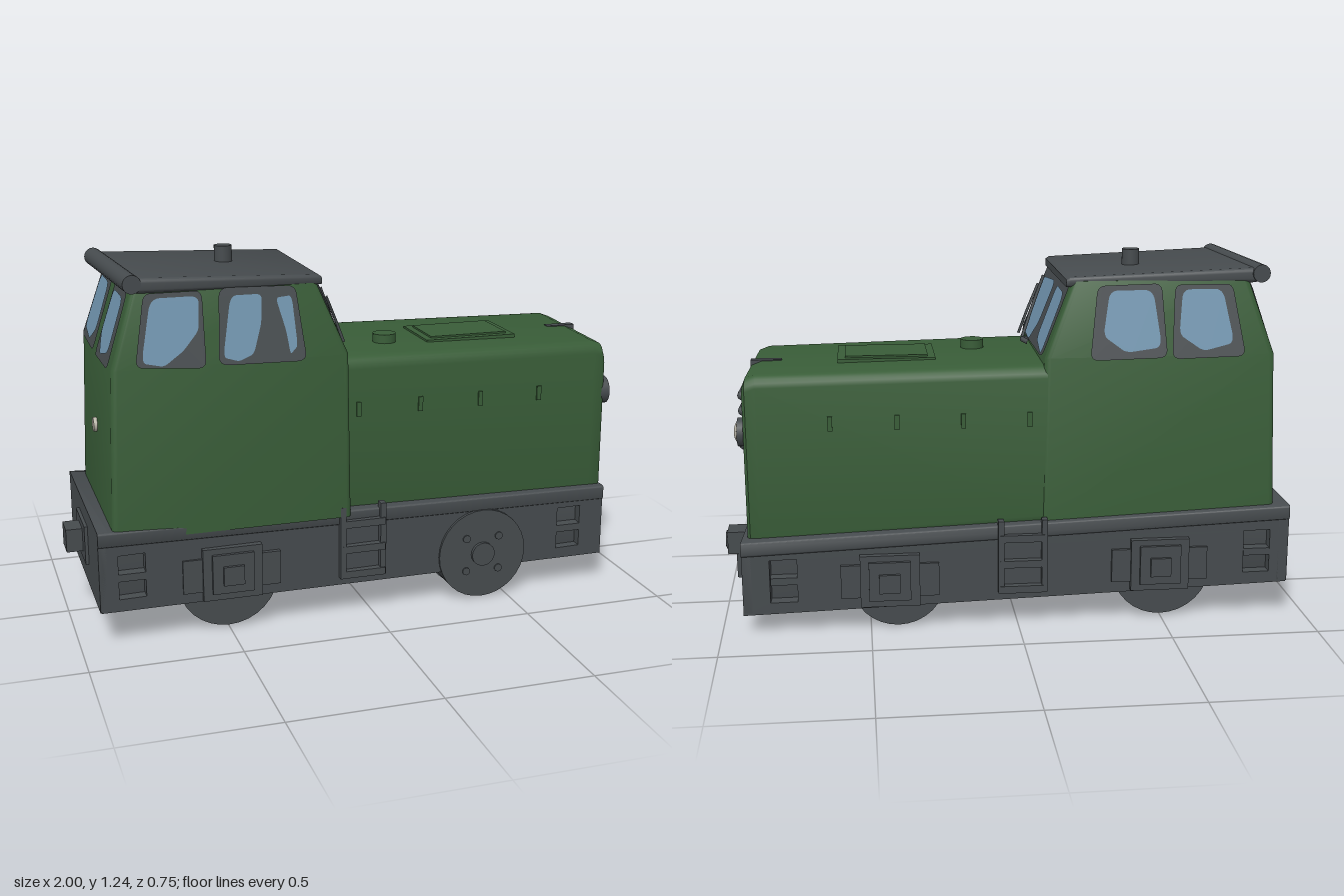
import * as THREE from 'three';
import { toCreasedNormals } from 'three/addons/utils/BufferGeometryUtils.js';

const mat = (name, color, side = THREE.FrontSide) => {
  const m = new THREE.MeshStandardMaterial({ color, side });
  m.name = name;
  return m;
};

// Rounded rectangle as counter-clockwise points
function roundRect(a0, a1, b0, b1, r) {
  const pts = [];
  [[a1 - r, b1 - r], [a0 + r, b1 - r], [a0 + r, b0 + r], [a1 - r, b0 + r]].forEach(([a, b], k) => {
    for (let i = 0; i <= 4; i++) {
      const t = (k + i / 4) * Math.PI / 2;
      pts.push([a + r * Math.cos(t), b + r * Math.sin(t)]);
    }
  });
  return pts;
}
// Rings along x take y and z ranges (skew turns the ring in plan); rings along y take z and x ranges
const ringX = (x, y0, y1, z0, z1, r, skew = 0) => roundRect(y0, y1, z0, z1, r).map(([y, z]) => [x + skew * z, y, z]);
const ringY = (y, z0, z1, x0, x1, r) => roundRect(z0, z1, x0, x1, r).map(([z, x]) => [x, y, z]);

// Closed body through a list of rings
function loft(rings) {
  const pos = [], n = rings[0].length;
  const tri = (a, b, c) => pos.push(...a, ...b, ...c);
  for (let k = 0; k + 1 < rings.length; k++) {
    const p = rings[k], q = rings[k + 1];
    for (let i = 0; i < n; i++) {
      const j = (i + 1) % n;
      tri(p[i], p[j], q[j]);
      tri(p[i], q[j], q[i]);
    }
  }
  const first = rings[0], last = rings[rings.length - 1];
  for (let i = 1; i + 1 < n; i++) {
    tri(first[0], first[i + 1], first[i]);
    tri(last[0], last[i], last[i + 1]);
  }
  const g = new THREE.BufferGeometry();
  g.setAttribute('position', new THREE.Float32BufferAttribute(pos, 3));
  return toCreasedNormals(g, 0.6);
}

// Polygon with softened corners
function softShape(pts, soft) {
  const s = new THREE.Shape(), v = pts.map(p => new THREE.Vector2(...p)), n = v.length;
  v.forEach((p, i) => {
    const a = p.clone().lerp(v[(i + n - 1) % n], soft), b = p.clone().lerp(v[(i + 1) % n], soft);
    if (i) s.lineTo(a.x, a.y); else s.moveTo(a.x, a.y);
    s.quadraticCurveTo(p.x, p.y, b.x, b.y);
  });
  s.closePath();
  return s;
}

function mapVertices(g, rule) {
  const p = g.attributes.position;
  for (let i = 0; i < p.count; i++) p.setXYZ(i, ...rule(p.getX(i), p.getY(i), p.getZ(i)));
  g.computeVertexNormals();
  return g;
}

export function createModel() {
  const group = new THREE.Group();
  const green = mat('green paint', 0x395d38);
  const grey = mat('dark grey', 0x464b4e);
  const trim = mat('window surround grey', 0x464b4e, THREE.DoubleSide);
  const glass = mat('blue glass', 0x7094ae, THREE.DoubleSide);
  const cream = mat('cream', 0xbab6a9, THREE.DoubleSide);

  const add = (name, geo, m, x = 0, y = 0, z = 0, parent = group) => {
    const mesh = new THREE.Mesh(geo, m);
    mesh.name = name;
    mesh.position.set(x, y, z);
    parent.add(mesh);
    return mesh;
  };
  const box = (name, m, x0, x1, y0, y1, z0, z1, parent) =>
    add(name, new THREE.BoxGeometry(x1 - x0, y1 - y0, z1 - z0), m, (x0 + x1) / 2, (y0 + y1) / 2, (z0 + z1) / 2, parent);
  const cyl = (name, m, r, h, axis, x, y, z, seg = 20, parent = group) => {
    const g = new THREE.CylinderGeometry(r, r, h, seg);
    if (axis === 'z') g.rotateX(Math.PI / 2);
    if (axis === 'x') g.rotateZ(-Math.PI / 2);
    return add(name, g, m, x, y, z, parent);
  };

  // Chassis, narrowing, dropping and twisting slightly towards the bonnet end
  const X0 = -0.93, X1 = 0.9;
  const bottom = x => 0.12 - 0.02 * (x - X0), top = x => 0.395 - 0.03 * (x - X0);
  const leftZ = x => 0.34 - 0.028 * (x - X0), rightZ = x => -0.333 + 0.007 * (x - X0);
  const twist = ([x, y, z]) => {
    const t = (x - X0) / (X1 - X0);
    return [x - 0.08 * z * t, y + 0.055 * z * t, z];
  };
  const frame = (name, x0, x1, inset, y0, y1) => add(name, loft([x0, x1].map(x =>
    ringX(x, y0(x), y1(x), rightZ(x) + inset, leftZ(x) - inset, 0.008).map(twist))), grey);
  frame('chassisCore', X0, X1, 0.04, bottom, top);
  frame('chassisLedge', X0 - 0.004, X1, -0.006, x => top(x) - 0.05, top);
  frame('rearBeam', X0 - 0.004, X0 + 0.03, 0, bottom, top);
  frame('frontBeam', X1 - 0.03, X1, 0, bottom, top);

  // Side frames with step pockets
  const side = new THREE.Shape();
  [[X0, bottom(X0)], [X1, bottom(X1)], [X1, top(X1) - 0.01], [X0, top(X0) - 0.01]]
    .forEach(([x, y], i) => i ? side.lineTo(x, y) : side.moveTo(x, y));
  for (const [x, y] of [[-0.87, 0.16], [0.72, 0.125]]) {
    const p = new THREE.Path();
    p.moveTo(x, y); p.lineTo(x, y + 0.15); p.lineTo(x + 0.09, y + 0.15); p.lineTo(x + 0.09, y);
    p.closePath();
    side.holes.push(p);
  }
  const sideGeo = () => new THREE.ExtrudeGeometry(side, { depth: 0.04, bevelEnabled: false });
  add('leftFrame', mapVertices(sideGeo(), (x, y, z) => twist([x, y, leftZ(x) - 0.04 + z])), grey);
  add('rightFrame', mapVertices(sideGeo(), (x, y, z) => twist([x, y, rightZ(x) + z])), grey);

  // Steps, wheels and axle boxes on both sides
  for (const s of [1, -1]) {
    const edge = x => s > 0 ? leftZ(x) : rightZ(x);
    const slab = (name, x0, x1, y0, y1, d0, d1) => {
      const e = edge((x0 + x1) / 2), a = e + s * d0, b = e + s * d1;
      const [x, y, z] = twist([(x0 + x1) / 2, (y0 + y1) / 2, (a + b) / 2]);
      add(name, new THREE.BoxGeometry(x1 - x0, y1 - y0, Math.abs(b - a)), grey, x, y, z);
    };
    slab('pocketStep', -0.87, -0.78, 0.22, 0.245, -0.04, 0);
    slab('pocketStep', 0.72, 0.81, 0.185, 0.21, -0.04, 0);
    for (const x of [-0.11, 0.035]) slab('ladderRail', x, x + 0.02, 0.13, 0.385, -0.01, 0.022);
    for (const y of [0.13, 0.22, 0.31]) slab('ladderRung', -0.1, 0.05, y, y + 0.025, -0.01, 0.025);
    for (const [x, y, r] of [[-0.5, 0.178, 0.172], [0.405, 0.162, 0.16]]) {
      const open = s > 0 && x > 0;
      const outer = open ? 0.315 : 0.295, inner = s > 0 ? 0.16 : 0.185;
      cyl('wheel', grey, r, outer - inner, 'z', x, y, s * (outer + inner) / 2, 32);
      cyl('wheelFlange', grey, r + 0.004, 0.025, 'z', x, y, s * (inner + 0.013), 32);
      if (open) {
        cyl('wheelHub', grey, 0.042, 0.016, 'z', x, y, outer + 0.004);
        for (let i = 0; i < 4; i++) {
          const a = Math.PI / 4 + i * Math.PI / 2;
          cyl('wheelBolt', grey, 0.014, 0.008, 'z', x + 0.085 * Math.cos(a), y + 0.085 * Math.sin(a), outer + 0.001, 10);
        }
      } else {
        const c = x + 0.01;
        slab('axleBoxWings', c - 0.165, c + 0.165, y - 0.03, y + 0.085, -0.02, 0.012);
        slab('axleBoxFrame', c - 0.1, c + 0.1, y - 0.06, y + 0.12, -0.02, 0.022);
        slab('axleBox', c - 0.07, c + 0.07, y - 0.035, y + 0.1, 0, 0.034);
        slab('axleBoxCap', c - 0.035, c + 0.035, y - 0.005, y + 0.06, 0.02, 0.045);
      }
    }
  }

  // Couplers
  box('rearCouplerPlate', grey, -0.945, -0.92, 0.2, 0.335, -0.1, 0.1);
  box('rearCoupler', grey, -1, -0.93, 0.23, 0.31, -0.045, 0.045);
  box('frontCouplerPlate', grey, 0.89, 0.918, 0.165, 0.285, -0.14, 0.12);
  box('frontCoupler', grey, 0.9, 0.992, 0.19, 0.27, -0.045, 0.045);
  const ring = add('couplerRing', new THREE.TorusGeometry(0.026, 0.009, 8, 16), grey, 0.991, 0.23, 0);
  ring.rotation.y = Math.PI / 2;
  cyl('couplerPin', grey, 0.014, 0.1, 'y', 0.95, 0.15, -0.028, 10);

  // Cab with upper walls leaning inwards, and a roof skewed along its rear edge
  add('cab', loft([
    ringY(0.36, -0.312, 0.338, -0.885, -0.082, 0.02), ringY(0.92, -0.305, 0.335, -0.865, -0.09, 0.02),
    ringY(1.165, -0.247, 0.287, -0.785, -0.19, 0.02)]), green);
  add('cabRoof', loft([
    ringX(-0.82, 1.155, 1.2, -0.25, 0.3, 0.015, 0.07), ringX(-0.78, 1.15, 1.2, -0.25, 0.3, 0.015, 0.07),
    ringX(-0.18, 1.145, 1.178, -0.245, 0.29, 0.012), ringX(-0.168, 1.145, 1.17, -0.24, 0.285, 0.008)]), grey);
  cyl('roofEdgeRoll', grey, 0.03, 0.56, 'z', -0.805, 1.182, 0.025).rotation.y = 0.07;
  cyl('roofVent', grey, 0.03, 0.06, 'y', -0.425, 1.21, -0.01);
  cyl('rearLamp', cream, 0.024, 0.02, 'x', -0.876, 0.66, 0.005);

  // Window plates laid on the leaning walls
  const lean = (y, a, b) => a + (b - a) * (y - 0.92) / 0.245;
  const walls = {
    left: (u, y, o) => [u, y, lean(y, 0.335, 0.287) + o],
    right: (u, y, o) => [u, y, lean(y, -0.305, -0.247) - o],
    front: (u, y, o) => [lean(y, -0.09, -0.19) + o, y, u],
    rear: (u, y, o) => [lean(y, -0.865, -0.785) - o, y, u],
  };
  const plate = (wall, name, m, pts, o, soft) =>
    add(wall + name, mapVertices(new THREE.ShapeGeometry(softShape(pts, soft)), (u, y) => walls[wall](u, y, o)), m);
  const surround = (wall, pts) => plate(wall, 'WindowSurround', trim, pts, 0.005, 0.12);
  const pane = (wall, pts) => plate(wall, 'Window', glass, pts, 0.009, 0.2);
  surround('left', [[-0.79, 0.925], [-0.75, 1.15], [-0.565, 1.15], [-0.565, 0.91]]);
  surround('left', [[-0.525, 0.915], [-0.51, 1.155], [-0.26, 1.15], [-0.235, 0.91]]);
  pane('left', [[-0.77, 0.94], [-0.73, 1.135], [-0.577, 1.135], [-0.583, 1.03], [-0.635, 0.97], [-0.7, 0.925]]);
  pane('left', [[-0.51, 0.94], [-0.475, 1.13], [-0.373, 1.13], [-0.38, 1.04], [-0.41, 0.945], [-0.46, 0.925]]);
  pane('left', [[-0.3, 1.01], [-0.328, 1.115], [-0.275, 1.12], [-0.265, 0.96], [-0.29, 0.935]]);
  surround('right', [[-0.765, 0.915], [-0.725, 1.15], [-0.53, 1.15], [-0.515, 0.91]]);
  surround('right', [[-0.5, 0.915], [-0.485, 1.155], [-0.27, 1.15], [-0.24, 0.91]]);
  pane('right', [[-0.725, 0.96], [-0.69, 1.135], [-0.555, 1.135], [-0.54, 0.99], [-0.62, 0.935]]);
  pane('right', [[-0.48, 0.95], [-0.455, 1.135], [-0.31, 1.135], [-0.285, 0.99], [-0.36, 0.935]]);
  surround('front', [[-0.265, 0.915], [-0.235, 1.16], [0.275, 1.16], [0.285, 0.91]]);
  pane('front', [[0.257, 0.925], [0.25, 1.11], [0.01, 1.13], [0, 0.99], [0.06, 0.915]]);
  pane('front', [[-0.07, 0.945], [-0.045, 1.125], [-0.215, 1.12], [-0.25, 0.92]]);
  surround('rear', [[0.285, 0.915], [0.265, 1.15], [0.045, 1.15], [0.04, 0.91]]);
  surround('rear', [[-0.26, 0.915], [-0.225, 1.15], [-0.015, 1.15], [-0.01, 0.91]]);
  pane('rear', [[0.25, 0.96], [0.24, 1.13], [0.07, 1.13], [0.06, 0.99], [0.13, 0.93]]);
  pane('rear', [[-0.23, 0.95], [-0.205, 1.13], [-0.04, 1.13], [-0.03, 0.98], [-0.1, 0.93]]);

  // Wiper
  const rod = (name, pts, r) => add(name, new THREE.TubeGeometry(
    new THREE.CatmullRomCurve3(pts.map(p => new THREE.Vector3(...p))), 10, r, 6), grey);
  rod('wiperArm', [[-0.15, 1.12, 0.2], [-0.11, 1.02, 0.18], [-0.065, 0.91, 0.13]], 0.006);
  rod('wiperBlade', [[-0.13, 1.09, 0.2], [-0.085, 1.0, 0.16], [-0.055, 0.92, 0.16]], 0.005);
  rod('wiperFoot', [[-0.08, 0.905, 0.12], [-0.06, 0.912, 0.08], [-0.08, 0.905, 0.05]], 0.01);

  // Bonnet
  const SKEW = -0.05;
  add('bonnet', loft([
    ringX(-0.1, 0.34, 0.893, -0.305, 0.282, 0.04), ringX(0.845, 0.29, 0.878, -0.288, 0.264, 0.04, SKEW),
    ringX(0.88, 0.29, 0.865, -0.285, 0.26, 0.04, SKEW), ringX(0.89, 0.29, 0.84, -0.275, 0.252, 0.04, SKEW)]), green);
  box('bonnetHatch', green, 0.26, 0.59, 0.87, 0.894, -0.12, 0.12);
  box('hatchPanel', green, 0.285, 0.565, 0.88, 0.9, -0.095, 0.095);
  cyl('fillerCap', green, 0.04, 0.04, 'y', 0.12, 0.9, 0.07);
  box('bonnetLatch', grey, 0.78, 0.885, 0.845, 0.882, -0.042, -0.012);
  for (const x of [-0.04, 0.18, 0.4, 0.62]) for (const s of [1, -1]) {
    const z = s > 0 ? 0.281 - 0.018 * (x + 0.1) : -0.304 + 0.018 * (x + 0.1);
    box('bonnetClip', green, x - 0.008, x + 0.008, 0.69, 0.74, z - 0.006, z + 0.006);
  }

  // Grille bars, headlamps and chevron on the bonnet's front face
  const face = new THREE.Group();
  face.name = 'bonnetFront';
  face.position.x = 0.89;
  face.rotation.y = SKEW;
  group.add(face);
  box('grilleBack', grey, -0.005, 0.007, 0.62, 0.79, -0.15, 0.13, face);
  [0.785, 0.732, 0.672, 0.615].forEach((y, i) => {
    const bar = add('grilleBar', new THREE.CapsuleGeometry(0.016, 0.31, 4, 10), grey, 0.013, y, i === 3 ? 0 : 0.003, face);
    bar.rotation.x = Math.PI / 2;
  });
  for (const [y, z] of [[0.692, 0.213], [0.677, -0.218]]) {
    cyl('headlampRim', grey, 0.048, 0.035, 'x', 0.005, y, z, 24, face);
    add('headlampLens', new THREE.SphereGeometry(0.036, 20, 12), cream, 0.02, y, z, face).scale.x = 0.45;
  }
  const chevron = new THREE.Shape([[0.14, 0.565], [0.085, 0.565], [-0.02, 0.435], [-0.125, 0.55], [-0.18, 0.55], [-0.02, 0.36]]
    .map(p => new THREE.Vector2(...p)));
  add('chevron', mapVertices(new THREE.ShapeGeometry(chevron), (z, y) => [0.006, y, z]), cream, 0, 0, 0, face);
  return group;
}
